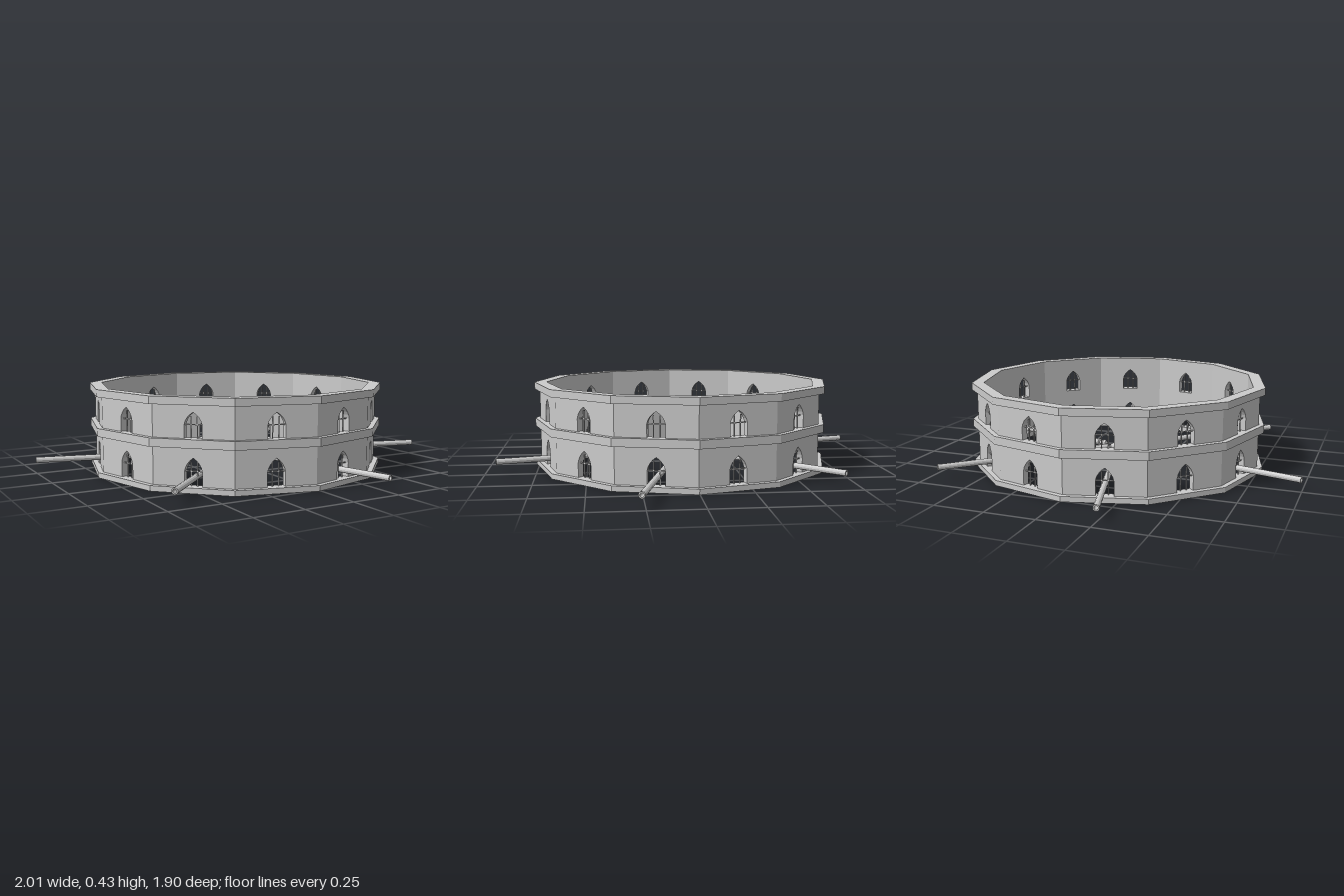
import * as THREE from 'three';

const SIDES = 12;
const STEP = (Math.PI * 2) / SIDES;
const BAND_R = 0.766, WALL_R = 0.74, INNER_R = 0.705;

function mat() {
  return new THREE.MeshStandardMaterial({ color: 0xcccccc, flatShading: true });
}

function polygon(radius) {
  return Array.from({ length: SIDES }, (_, i) =>
    new THREE.Vector2(Math.cos(i * STEP) * radius, Math.sin(i * STEP) * radius));
}

// Flat twelve-sided ring from y0 to y1
function bandGeometry(y0, y1) {
  const shape = new THREE.Shape(polygon(BAND_R));
  shape.holes.push(new THREE.Path(polygon(INNER_R)));
  return new THREE.ExtrudeGeometry(shape, { depth: y1 - y0, bevelEnabled: false })
    .rotateX(-Math.PI / 2).translate(0, y0, 0);
}

// Wall panel with a pointed-arch opening rising from its foot, mitred at both ends
function panelGeometry(height, arch) {
  const w = WALL_R * Math.sin(STEP / 2), wIn = INNER_R * Math.sin(STEP / 2);
  const hw = 0.042, spring = arch * 0.52;
  const s = new THREE.Shape();
  s.moveTo(-w, 0).lineTo(-hw, 0).lineTo(-hw, spring);
  s.quadraticCurveTo(-hw * 0.85, arch * 0.82, 0, arch);
  s.quadraticCurveTo(hw * 0.85, arch * 0.82, hw, spring);
  s.lineTo(hw, 0).lineTo(w, 0).lineTo(w, height).lineTo(-w, height).closePath();
  const depth = (WALL_R - INNER_R) * Math.cos(STEP / 2);
  const geo = new THREE.ExtrudeGeometry(s, { depth, bevelEnabled: false, curveSegments: 4 });
  const p = geo.attributes.position;
  for (let i = 0; i < p.count; i++) {
    if (Math.abs(p.getX(i)) > 0.1 && p.getZ(i) < depth / 2) p.setX(i, Math.sign(p.getX(i)) * wIn);
  }
  geo.computeVertexNormals();
  return geo.translate(0, 0, INNER_R * Math.cos(STEP / 2));
}

// Two mullions and a transom filling an opening
function windowBars(arch) {
  const g = new THREE.Group();
  g.name = 'windowBars';
  const z = (WALL_R + INNER_R) / 2 * Math.cos(STEP / 2);
  const bar = (name, w, h, x, y) => {
    const m = new THREE.Mesh(new THREE.BoxGeometry(w, h, 0.005), mat());
    m.name = name;
    m.position.set(x, y, z);
    g.add(m);
  };
  for (const side of [-1, 1]) bar('mullion', 0.005, arch * 0.84, side * 0.015, arch * 0.42);
  bar('transom', 0.084, 0.005, 0, arch * 0.52);
  return g;
}

// Long barrel with a hollow muzzle, breech rings and a ball at the rear
function cannonGeometry() {
  const profile = [
    [0, -0.018], [0.012, -0.013], [0.018, 0], [0.012, 0.013], [0.007, 0.018],
    [0.008, 0.026], [0.019, 0.03], [0.019, 0.038], [0.016, 0.044],
    [0.0145, 0.925], [0.0155, 0.93], [0.0155, 0.938], [0.009, 0.938], [0.009, 0.85], [0, 0.85],
  ].map(([r, y]) => new THREE.Vector2(r, y));
  return new THREE.LatheGeometry(profile, 12).rotateZ(-Math.PI / 2);
}

export function createModel() {
  const model = new THREE.Group();
  model.name = 'roundFort';
  const ring = new THREE.Group();
  ring.name = 'ringWall';
  ring.position.set(-0.005, 0, 0.002);
  model.add(ring);

  // Projecting bands at foot, middle and top
  for (const [name, y0, y1] of [['baseBand', 0, 0.026], ['middleBand', 0.203, 0.243], ['topBand', 0.395, 0.431]]) {
    const band = new THREE.Mesh(bandGeometry(y0, y1), mat());
    band.name = name;
    ring.add(band);
  }

  // Two storeys of arched panels
  for (const [name, y, h, arch] of [['lowerWall', 0.026, 0.177, 0.13], ['upperWall', 0.243, 0.152, 0.118]]) {
    const geo = panelGeometry(h, arch);
    for (let i = 0; i < SIDES; i++) {
      const bay = new THREE.Group();
      bay.name = name + 'Bay';
      const panel = new THREE.Mesh(geo, mat());
      panel.name = name + 'Panel';
      bay.add(panel, windowBars(arch));
      bay.position.y = y;
      bay.rotation.y = (i + 0.5) * STEP;
      ring.add(bay);
    }
  }

  // Six cannons through every other lower opening, run out by differing amounts
  const geo = cannonGeometry();
  [0.097, 0.038, 0.038, 0.097, 0.04, 0.03].forEach((start, i) => {
    const a = Math.PI / 12 + i * Math.PI / 3;
    const cannon = new THREE.Mesh(geo, mat());
    cannon.name = 'cannon';
    cannon.position.set(Math.cos(a) * start, 0.065, Math.sin(a) * start);
    cannon.rotation.y = -a;
    model.add(cannon);
  });
  return model;
}
